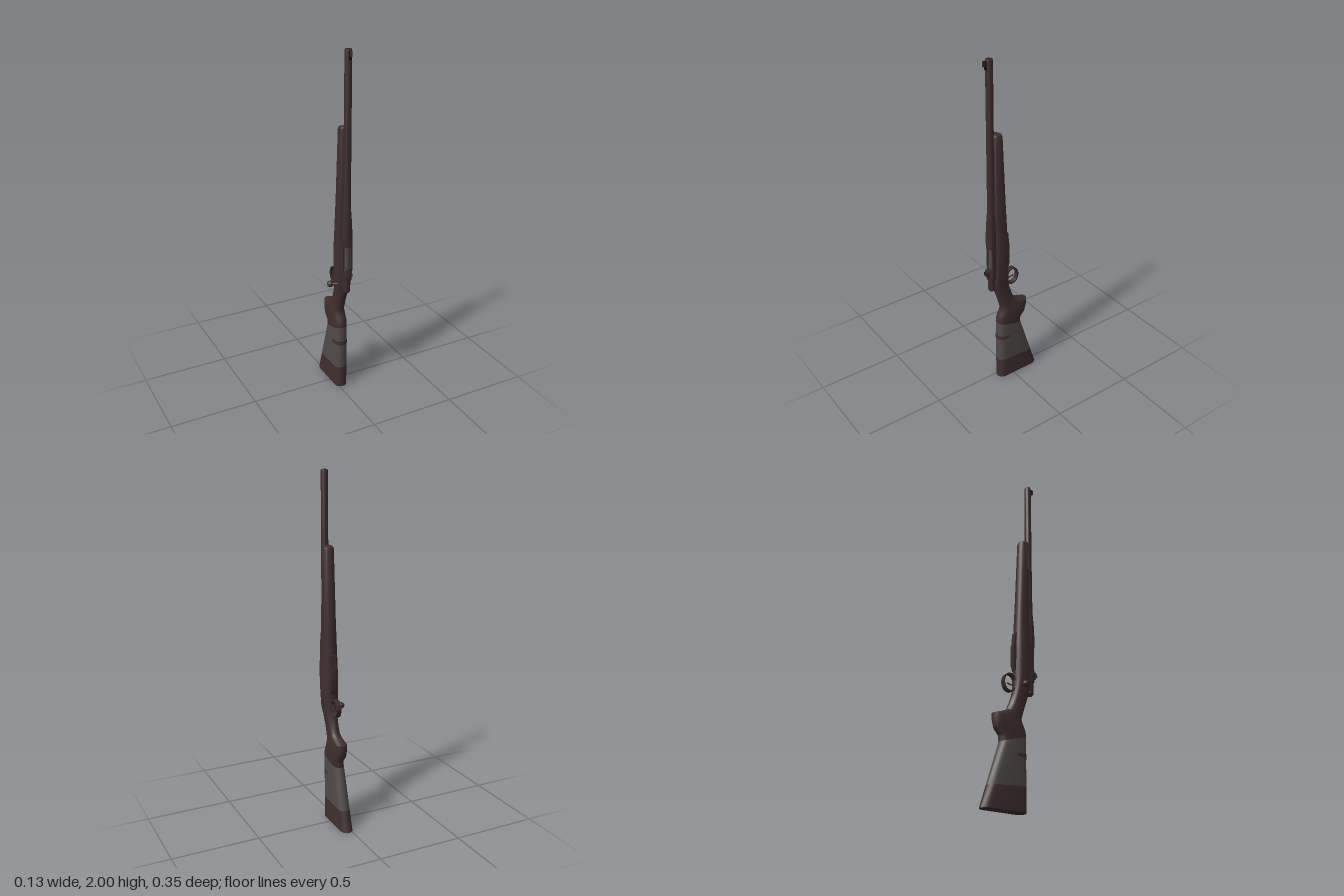
import * as THREE from 'three';
import { toCreasedNormals } from 'three/addons/utils/BufferGeometryUtils.js';

const CX = 0.02;   // centre plane of the body
const BZ = 0.13;   // bore axis

const mat = (name, color) => {
  const m = new THREE.MeshStandardMaterial({ color });
  m.name = name;
  return m;
};

// Closed skin through sections listed from top to bottom:
// [front y, front z, back y, back z, half width, front rounding, back rounding]
function loft(sections) {
  const N = 8, pos = [], idx = [];
  for (const [yf, zf, yb, zb, hw, df, db] of sections) {
    for (let side = 0; side < 2; side++) {
      for (let i = 0; i <= N; i++) {
        const a = -Math.PI / 2 + Math.PI * (i / N + side), c = Math.cos(a);
        const z = side === 0 ? zf - df + df * c : zb + db + db * c;
        const t = (zf - z) / (zf - zb);
        pos.push(CX + hw * Math.sin(a), yf + (yb - yf) * t, z);
      }
    }
  }
  const R = 2 * (N + 1), S = sections.length;
  for (let s = 0; s < S - 1; s++) {
    for (let j = 0; j < R; j++) {
      const k = (j + 1) % R, a = s * R + j, b = s * R + k;
      idx.push(a, a + R, b, b, a + R, b + R);
    }
  }
  // End caps
  for (let j = 1; j < R - 1; j++) {
    const o = (S - 1) * R;
    idx.push(0, j, j + 1, o, o + j + 1, o + j);
  }
  const g = new THREE.BufferGeometry();
  g.setAttribute('position', new THREE.Float32BufferAttribute(pos, 3));
  g.setIndex(idx);
  return toCreasedNormals(g, 0.6);
}

// Side profile of [z, y] points, extruded across x
function sideExtrude(shape, width, x = CX) {
  const g = new THREE.ExtrudeGeometry(shape, { depth: width, bevelEnabled: false, curveSegments: 20 });
  return toCreasedNormals(g.rotateY(-Math.PI / 2).translate(x + width / 2, 0, 0), 0.6);
}
const profile = pts => new THREE.Shape(pts.map(p => new THREE.Vector2(...p)));

export function createModel() {
  const root = new THREE.Group();
  const wood = mat('dark brown stock', 0x402f2f);
  const metal = mat('dark brown metal', 0x3b2c2c);
  const grey = mat('grey band', 0x514b49);
  const black = mat('bore black', 0x161213);

  const add = (name, geo, material) => {
    const m = new THREE.Mesh(geo, material);
    m.name = name;
    root.add(m);
    return m;
  };
  const box = (name, w, h, d, x, y, z, material = metal) =>
    add(name, new THREE.BoxGeometry(w, h, d).translate(x, y, z), material);
  const turned = (name, pts, material = metal) => {
    const g = new THREE.LatheGeometry(pts.map(p => new THREE.Vector2(...p)), 20);
    return add(name, toCreasedNormals(g, 0.6).translate(CX, 0, BZ), material);
  };

  // Stock: forend, wrist and pistol grip
  const bandTop = [0.40, 0.097, 0.355, -0.064, 0.036, 0.035, 0.045];
  const bandLow = [0.132, 0.097, 0.12, -0.138, 0.036, 0.035, 0.045];
  add('forendAndGrip', loft([
    [1.60, 0.115, 1.592, 0.064, 0.026, 0.012, 0.018],
    [1.59, 0.12, 1.58, 0.06, 0.03, 0.012, 0.022],
    [1.20, 0.12, 1.20, 0.043, 0.034, 0.012, 0.026],
    [0.98, 0.12, 0.98, 0.032, 0.039, 0.014, 0.03],
    [0.90, 0.122, 0.90, 0.03, 0.042, 0.016, 0.03],
    [0.75, 0.122, 0.75, 0.028, 0.042, 0.016, 0.03],
    [0.68, 0.124, 0.68, 0.025, 0.038, 0.02, 0.03],
    [0.64, 0.115, 0.63, 0.015, 0.033, 0.03, 0.035],
    [0.58, 0.095, 0.575, -0.005, 0.031, 0.035, 0.04],
    [0.53, 0.08, 0.54, -0.022, 0.031, 0.035, 0.04],
    [0.495, 0.07, 0.525, -0.055, 0.032, 0.035, 0.045],
    [0.475, 0.074, 0.506, -0.108, 0.034, 0.035, 0.045],
    [0.455, 0.083, 0.47, -0.107, 0.035, 0.035, 0.045],
    [0.435, 0.092, 0.425, -0.095, 0.036, 0.035, 0.045],
    [0.42, 0.096, 0.39, -0.066, 0.036, 0.035, 0.045],
    bandTop,
  ]), wood);

  // Butt with its wrapped grey band
  add('buttBand', loft([bandTop, bandLow]), grey);
  add('butt', loft([bandLow, [0, 0.097, 0, -0.176, 0.036, 0.035, 0.045]]), wood);
  add('bandNotch', loft([
    [0.308, 0.099, 0.302, 0.028, 0.0375, 0.036, 0.004],
    [0.282, 0.099, 0.286, 0.028, 0.0375, 0.036, 0.004],
  ]), wood);

  // Barrel with a hollow muzzle, swelling into the receiver ring
  turned('barrel', [
    [0, 0.93], [0.03, 0.93], [0.03, 1.0], [0.028, 1.06], [0.022, 1.14], [0.02, 1.25],
    [0.0195, 1.99], [0.017, 2], [0.011, 2], [0.011, 1.95], [0, 1.95],
  ]);
  turned('bore', [[0, 1.951], [0.0105, 1.951]], black).material.side = THREE.DoubleSide;
  box('frontSight', 0.006, 0.03, 0.022, CX, 1.98, 0.157);
  box('frontSightBase', 0.014, 0.045, 0.008, CX, 1.97, 0.15, black);

  // Receiver: open port with bolt, then the rear bridge and shroud
  turned('bolt', [[0, 0.79], [0.016, 0.79], [0.016, 0.935], [0, 0.935]], grey);
  for (const s of [-1, 1]) {
    box('receiverRail', 0.009, 0.16, 0.04, CX + s * 0.025, 0.86, 0.122);
    box('rearSightProng', 0.003, 0.022, 0.014, CX + s * 0.01, 0.768, 0.168);
  }
  turned('rearBridge', [[0, 0.725], [0.027, 0.725], [0.029, 0.735], [0.029, 0.79], [0.026, 0.8], [0, 0.8]]);
  box('rearSightBase', 0.028, 0.04, 0.012, CX, 0.765, 0.158);
  turned('boltShroud', [[0, 0.645], [0.014, 0.645], [0.021, 0.655], [0.021, 0.735], [0, 0.735]]);
  box('tang', 0.032, 0.09, 0.035, CX, 0.695, 0.118);

  // Bolt handle
  const arm = new THREE.CatmullRomCurve3([
    new THREE.Vector3(CX, 0.70, 0.125), new THREE.Vector3(-0.012, 0.692, 0.1), new THREE.Vector3(-0.045, 0.682, 0.062),
  ]);
  add('boltHandle', new THREE.TubeGeometry(arm, 8, 0.007, 8), metal);
  add('boltKnob', new THREE.SphereGeometry(0.0185, 14, 10).translate(-0.046, 0.682, 0.061), metal);

  // Floor plate, trigger guard and trigger
  add('floorPlate', sideExtrude(profile([
    [0.05, 0.77], [0.05, 1.0], [0.028, 0.995], [0.022, 0.93], [0.018, 0.92], [0.018, 0.8], [0.027, 0.77],
  ]), 0.034), metal);
  const guard = new THREE.Shape().absellipse(-0.004, 0.695, 0.042, 0.053, 0, Math.PI * 2);
  guard.holes.push(new THREE.Path().absellipse(-0.004, 0.695, 0.034, 0.045, 0, Math.PI * 2, true));
  add('triggerGuard', sideExtrude(guard, 0.028), metal);
  const pull = new THREE.CatmullRomCurve3([
    new THREE.Vector3(CX, 0.695, 0.04), new THREE.Vector3(CX, 0.685, 0.012), new THREE.Vector3(CX, 0.692, -0.018),
  ]);
  add('trigger', new THREE.TubeGeometry(pull, 8, 0.004, 6), metal);

  return root;
}
